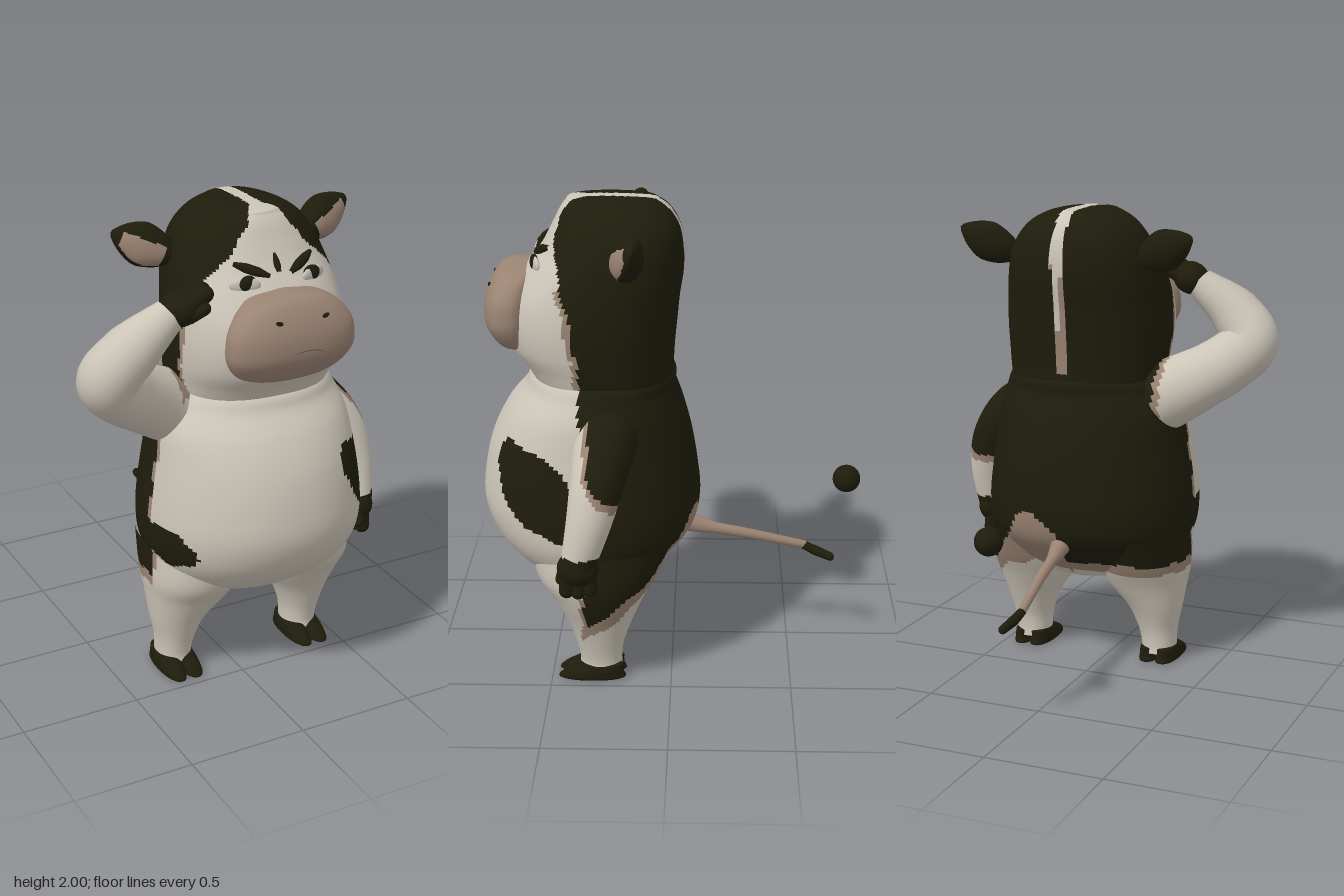
import * as THREE from 'three';

const mat = (name, color) => Object.assign(new THREE.MeshStandardMaterial({ color }), { name });
const cream = mat('cream hide', 0xcbc4b7);
const dark = mat('dark hide', 0x1e1c0b);
const pink = mat('pinkish skin', 0x9a8372);
const crease = mat('mouth crease', 0x7c685b);
const eyeWhite = mat('eye white', 0xc6c2ba);
const HIDE = [cream, dark, pink];
const CREAM = 0, DARK = 1, PINK = 2;

const lerpTable = (t, x) => {
  if (x <= t[0][0]) return t[0][1];
  for (let i = 1; i < t.length; i++) {
    if (x <= t[i][0]) return THREE.MathUtils.mapLinear(x, t[i - 1][0], t[i][0], t[i - 1][1], t[i][1]);
  }
  return t[t.length - 1][1];
};

// Sort quads (pairs of triangles) into the three hide colours by their centre
function paint(geo, rule) {
  const p = geo.attributes.position, old = [...geo.index.array], lists = [[], [], []];
  for (let i = 0; i < old.length; i += 6) {
    const quad = old.slice(i, i + 6);
    const mid = k => quad.reduce((sum, v) => sum + p[k](v), 0) / 6;
    const list = lists[rule(mid('getX'), mid('getY'), mid('getZ'))];
    list.push(...quad);
  }
  geo.setIndex(lists.flat());
  let start = 0;
  lists.forEach((l, m) => { if (l.length) geo.addGroup(start, l.length, m); start += l.length; });
  return geo;
}

// Skin over stacked rings: [y, centre x, half width, front z, back z]
function loft(rows, n = 2, segs = 48, steps = 8) {
  const spline = new THREE.CubicInterpolant(rows.map((_, i) => i), rows.flat(), 5);
  const count = (rows.length - 1) * steps, pos = [], idx = [];
  const pow = v => Math.sign(v) * Math.abs(v) ** (2 / n);
  for (let i = 0; i <= count; i++) {
    const [y, cx, w, zf, zb] = spline.evaluate(i / steps);
    const rx = Math.max(w, 0.001), rz = Math.max((zf - zb) / 2, 0.001);
    for (let j = 0; j < segs; j++) {
      const a = j / segs * Math.PI * 2;
      pos.push(cx + rx * pow(Math.sin(a)), y, (zf + zb) / 2 + rz * pow(Math.cos(a)));
      if (i === count) continue;
      const a0 = i * segs + j, b0 = i * segs + (j + 1) % segs;
      idx.push(a0, b0, a0 + segs, b0, b0 + segs, a0 + segs);
    }
  }
  const geo = new THREE.BufferGeometry();
  geo.setAttribute('position', new THREE.Float32BufferAttribute(pos, 3));
  geo.setIndex(idx);
  geo.computeVertexNormals();
  return geo;
}

// Tube whose radius changes evenly through the listed radii
function limb(points, radii, n = 40, segs = 24) {
  const curve = new THREE.CatmullRomCurve3(points.map(p => new THREE.Vector3(...p)));
  const geo = new THREE.TubeGeometry(curve, n, 1, segs);
  const p = geo.attributes.position, v = new THREE.Vector3();
  const table = radii.map((r, i) => [i / (radii.length - 1), r]);
  for (let i = 0; i <= n; i++) {
    const c = curve.getPointAt(i / n), r = lerpTable(table, i / n);
    for (let j = 0; j <= segs; j++) {
      const k = i * (segs + 1) + j;
      v.fromBufferAttribute(p, k).sub(c).multiplyScalar(r).add(c);
      p.setXYZ(k, v.x, v.y, v.z);
    }
  }
  return geo;
}

// Dark back, side patches and pink edges shared by torso and legs
function bodyRule(x, y, z) {
  const wob = 0.006 * Math.sin(y * 38) + 0.005 * Math.sin(z * 45);
  const left = x > 0.1;
  if (left) {
    const u = z - 0.54, v = y - 0.86 - 0.45 * u;
    if (Math.abs((u + wob) / 0.16) ** 3 + Math.abs((v + wob) / 0.16) ** 3 < 1) return DARK;
  } else if (((z - 0.46) / 0.15) ** 2 + ((y - 0.66 + wob) / 0.085) ** 2 < 1) return DARK;
  if (z > 0.37 + wob) return CREAM;
  if (left && x < 0.38 && y < 0.4) return CREAM;
  const edge = left
    ? 0.25 + (0.36 - z) * 0.8 + 0.1 * Math.exp(-(((x - 0.26) / 0.12) ** 2)) * (z < 0.15) + wob
    : 0.48 + wob;
  if (y > edge) return z > 0.35 + wob && y < 1.1 ? PINK : DARK;
  return y > edge - (left ? (z < 0.08 ? 0.15 : 0.06) : 0.045) ? PINK : CREAM;
}

// White blaze and back stripe between dark head sides
function headRule(x, y, z) {
  const wob = 0.006 * Math.sin(y * 35);
  const dx = Math.abs(x - 0.115);
  const edge = lerpTable([[1.3, 0.36], [1.6, 0.41], [1.75, 0.45], [1.85, 0.46], [1.93, 0.45], [2, 0.43]], y) + wob;
  if (z > edge) return z < edge + 0.022 && y < 1.68 ? PINK : CREAM;
  const stripe = 0.028 + Math.max(0, z - 0.34) * 0.6;
  if (dx > stripe || y < 1.31) return DARK;
  return z < 0.2 && (y < 1.5 || (y < 1.78 && dx > 0.017)) ? PINK : CREAM;
}

export function createModel() {
  const cow = new THREE.Group();
  cow.name = 'cow';
  const add = (name, geo, material, parent = cow) => {
    const m = new THREE.Mesh(geo, material);
    m.name = name;
    parent.add(m);
    return m;
  };
  const ball = (name, material, [x, y, z], [rx, ry, rz], parent) => {
    const m = add(name, new THREE.SphereGeometry(1, 28, 20), material, parent);
    m.position.set(x, y, z);
    m.scale.set(rx, ry, rz);
    return m;
  };

  // Torso
  add('torso', paint(loft([
    [0.37, 0.1, 0, 0.32, 0.3], [0.38, 0.1, 0.16, 0.47, 0.16], [0.43, 0.1, 0.3, 0.57, 0.08],
    [0.5, 0.1, 0.4, 0.66, 0], [0.6, 0.1, 0.455, 0.745, -0.085], [0.72, 0.1, 0.463, 0.79, -0.115],
    [0.85, 0.1, 0.452, 0.785, -0.105], [1, 0.1, 0.43, 0.75, -0.08], [1.13, 0.1, 0.41, 0.685, -0.045],
    [1.22, 0.105, 0.37, 0.61, -0.015], [1.29, 0.11, 0.325, 0.565, 0], [1.36, 0.11, 0.2, 0.4, 0.15],
  ], 2.1, 128, 11), bodyRule), HIDE);

  // Head and muzzle
  const head = add('head', paint(loft([
    [1.2, 0.11, 0.29, 0.53, 0.04], [1.26, 0.11, 0.325, 0.565, 0], [1.32, 0.11, 0.338, 0.6, -0.005],
    [1.4, 0.11, 0.35, 0.655, -0.01], [1.5, 0.11, 0.356, 0.675, -0.02], [1.6, 0.11, 0.35, 0.66, -0.03],
    [1.7, 0.11, 0.335, 0.605, -0.045], [1.8, 0.11, 0.31, 0.53, -0.045], [1.88, 0.11, 0.272, 0.485, -0.03],
    [1.94, 0.11, 0.22, 0.455, 0.005], [1.975, 0.11, 0.16, 0.43, 0.045], [1.993, 0.11, 0.1, 0.405, 0.09],
    [2, 0.11, 0, 0.27, 0.26],
  ], 2.3, 128, 10), headRule), HIDE);
  const muzzle = add('muzzle', loft([
    [1.375, 0.1, 0, 0.625, 0.62], [1.388, 0.1, 0.13, 0.68, 0.57], [1.42, 0.1, 0.22, 0.715, 0.55],
    [1.49, 0.1, 0.268, 0.757, 0.55], [1.56, 0.1, 0.272, 0.764, 0.55], [1.62, 0.1, 0.255, 0.752, 0.55],
    [1.68, 0.1, 0.205, 0.722, 0.54], [1.715, 0.1, 0.13, 0.685, 0.53], [1.733, 0.1, 0, 0.595, 0.59],
  ], 2.4, 64), pink);

  // Face details sit on the surface found straight behind each point
  const ray = new THREE.Raycaster();
  const onFront = (mesh, x, y) => {
    ray.set(new THREE.Vector3(x, y, 3), new THREE.Vector3(0, 0, -1));
    const hit = ray.intersectObject(mesh)[0];
    return [x, y, hit ? hit.point.z : 0.5];
  };
  const stroke = (name, mesh, pts, radii, material) =>
    add(name, limb(pts.map(([x, y]) => onFront(mesh, x, y)), radii, 20, 10), material);
  stroke('mouth', muzzle, [[0.025, 1.515], [0.065, 1.532], [0.11, 1.537], [0.155, 1.532], [0.195, 1.515]],
    [0.001, 0.005, 0.005, 0.001], crease);
  stroke('browCrease', head, [[0.108, 1.78], [0.108, 1.81], [0.108, 1.845]], [0.009, 0.014, 0.012, 0.004], dark);
  for (const s of [-1, 1]) {
    const at = d => 0.11 + s * d;
    ball('eye', eyeWhite, onFront(head, at(0.15), 1.75), [0.062, 0.032, 0.014]).rotation.y = s * 0.35;
    const p = onFront(head, at(0.14), 1.757);
    ball('pupil', dark, [p[0], p[1], p[2] + 0.006], [0.036, 0.032, 0.016]);
    stroke('eyebrow', head, [[at(0.17), 1.82], [at(0.11), 1.798], [at(0.045), 1.772]],
      [0.009, 0.02, 0.02, 0.009], dark);
    ball('nostril', dark, onFront(muzzle, 0.105 + s * 0.1, 1.65), [0.018, 0.009, 0.006]).rotation.z = s * 0.4;

    // Ear: leaf-shaped cup, pink over the lower inside
    const ear = add('ear', paint(loft([
      [0, 0, 0.035, 0.035, -0.04], [0.06, 0, 0.07, 0.05, -0.07], [0.14, 0, 0.088, 0.05, -0.07],
      [0.21, 0, 0.062, 0.035, -0.05], [0.262, 0, 0.022, 0.012, -0.012], [0.275, 0, 0, 0, 0],
    ], 2, 64), (x, y, z) => (z > 0.016 && y > 0.05 && y < 0.235 && s * x > -0.02 ? PINK : DARK)), HIDE);
    ear.position.set(0.12 + s * 0.29, 1.785, 0.2);
    ear.quaternion.setFromUnitVectors(new THREE.Vector3(0, 1, 0),
      new THREE.Vector3(s * 0.245, 0.115, -0.06).normalize());

    // Leg and cloven hoof
    add('leg', paint(loft([
      [0.04, 0.075, 0.305, 0.078, 0.385, 0.205], [0.08, 0.075, 0.305, 0.076, 0.382, 0.208],
      [0.15, 0.08, 0.303, 0.087, 0.395, 0.2], [0.25, 0.085, 0.294, 0.12, 0.43, 0.165],
      [0.36, 0.097, 0.267, 0.175, 0.49, 0.115], [0.46, 0.1, 0.262, 0.195, 0.555, 0.06],
      [0.6, 0.1, 0.26, 0.19, 0.58, 0],
    ].map(([y, c, d, w, f, b]) => [y, c + s * d, w, f, b]), 2.1, 64, 10), bodyRule), HIDE);
    const hx = 0.072 + s * 0.306;
    for (const t of [-1, 1]) {
      const c = hx + t * 0.037;
      add('hoofToe', loft([
        [0, c, 0, 0.33, 0.33], [0, c, 0.046, 0.465, 0.2], [0.025, c + t * 0.002, 0.048, 0.452, 0.2],
        [0.05, c, 0.045, 0.405, 0.202], [0.066, c, 0.035, 0.37, 0.21], [0.07, c, 0, 0.3, 0.3],
      ], 2.2, 32, 5), dark);
    }
  }

  // Saluting right arm
  add('salutingArm', paint(limb(
    [[-0.08, 1.12, 0.26], [-0.3, 1.225, 0.3], [-0.5, 1.345, 0.4], [-0.575, 1.43, 0.45], [-0.5, 1.535, 0.48], [-0.33, 1.665, 0.485]],
    [0.16, 0.15, 0.132, 0.125, 0.11, 0.066], 60, 36),
  (x, y, z) => {
    if (x < -0.27 || y > 1.45) return CREAM;
    if (z < 0.28) return x > -0.24 ? DARK : PINK;
    return x > -0.245 && y > 1.26 ? PINK : CREAM;
  }), HIDE);

  // Hanging left arm, dark behind the shoulder and at the wrist
  add('hangingArm', paint(limb(
    [[0.26, 1.14, 0.25], [0.44, 1.07, 0.262], [0.562, 0.94, 0.29], [0.608, 0.8, 0.32], [0.62, 0.61, 0.368]],
    [0.15, 0.135, 0.11, 0.09, 0.07], 60, 40),
  (x, y, z) => {
    if (y < 0.655) return DARK;
    const d = y - lerpTable([[0.19, 0.86], [0.29, 0.92], [0.35, 1.02]], z);
    if (z > 0.345) return CREAM;
    return d > 0 && z < 0.325 ? DARK : d > -0.04 ? PINK : CREAM;
  }), HIDE);

  // Hands: palm, three fingers and a thumb, pointing down before turning
  const hand = (name, pos, turn, size) => {
    const g = new THREE.Group();
    g.name = name;
    ball('palm', dark, [0, -0.04, 0], [0.066, 0.075, 0.084], g);
    const digit = (n, x, z, y, len, r, tilt) => {
      const m = add(n, new THREE.CapsuleGeometry(r, len, 6, 14), dark, g);
      m.position.set(x, y, z);
      m.rotation.x = tilt;
    };
    [-1, 0, 1].forEach(i => digit('finger', 0.006 * i, i * 0.043, -0.1 - (i ? 0 : 0.008), 0.07, 0.032, -i * 0.08));
    digit('thumb', -0.025, 0.06, -0.07, 0.06, 0.026, -0.25);
    g.position.set(...pos);
    g.rotation.z = turn;
    g.scale.setScalar(size);
    cow.add(g);
  };
  hand('hangingHand', [0.62, 0.635, 0.368], 0, 1);
  hand('salutingHand', [-0.325, 1.662, 0.485], 2 * Math.PI / 3, 1.05);

  // Tail with a dark tip and a separate round tuft
  add('tail', limb([[0.095, 0.58, -0.05], [0.088, 0.553, -0.13], [0.07, 0.51, -0.32], [0.04, 0.445, -0.57]],
    [0.045, 0.024, 0.022, 0.02, 0.018], 30, 16), pink);
  add('tailTip', limb([[0.04, 0.447, -0.56], [0.05, 0.425, -0.61], [0.07, 0.402, -0.68]],
    [0.018, 0.021, 0.018], 12, 16), dark);
  ball('tailTipEnd', dark, [0.07, 0.402, -0.68], [0.018, 0.018, 0.014]);
  ball('tailTuft', dark, [0.1, 0.78, -0.733], [0.058, 0.058, 0.058]);

  return cow;
}
